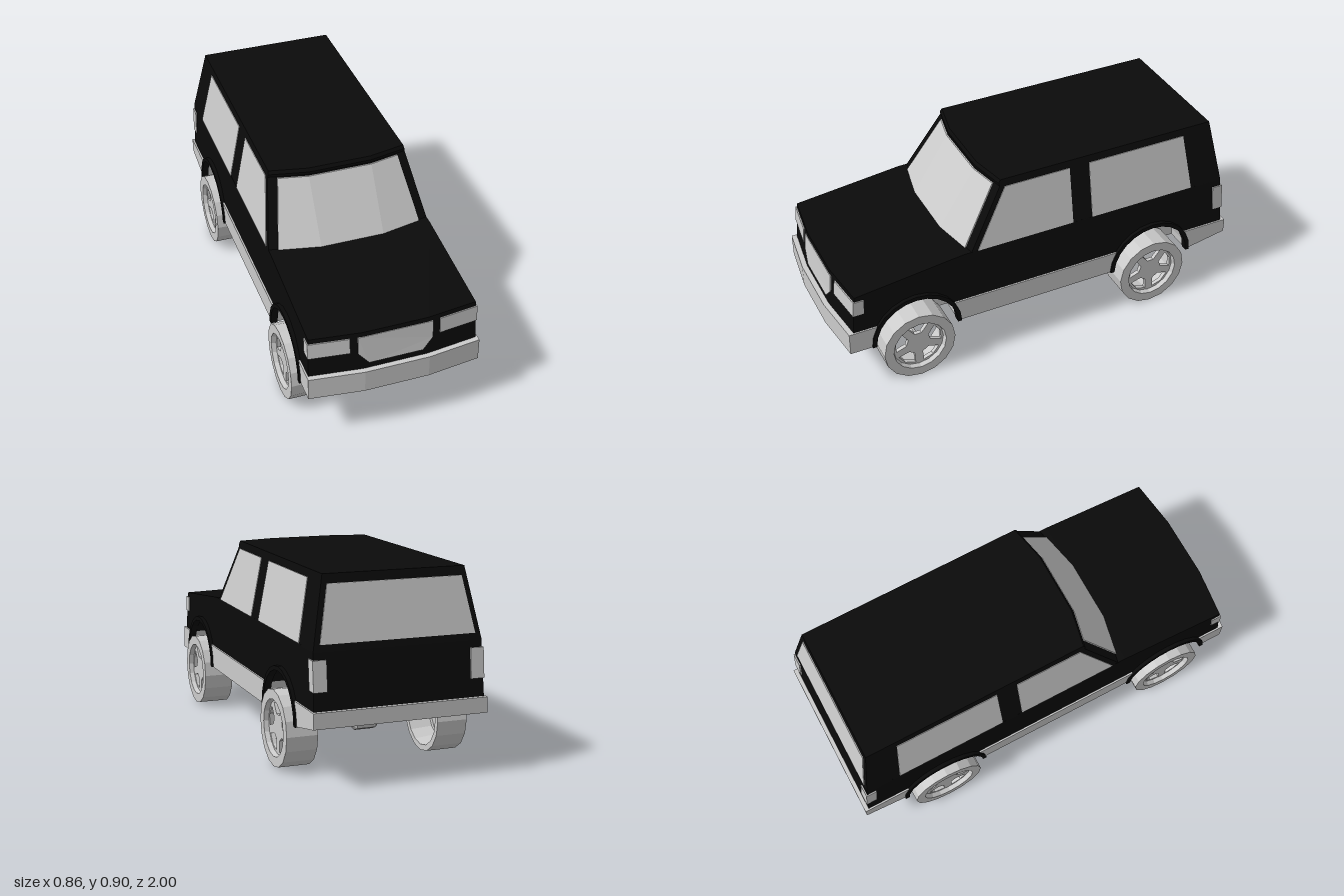
import * as THREE from 'three';

const BLACK = 0x0a0a0a, GREY = 0xcccccc;
const AXLES = [0.645, -0.58];
const ARCH_Y = 0.23, ARCH_R = 0.205, SILL = 0.34;
const A0 = Math.asin((SILL - ARCH_Y) / ARCH_R);

const material = (color) => new THREE.MeshStandardMaterial({ color, flatShading: true });
const black = material(BLACK), grey = material(GREY);

function named(name, geometry, mat) {
  const mesh = new THREE.Mesh(geometry, mat);
  mesh.name = name;
  return mesh;
}

// Move every vertex by a rule that returns its new [x, y, z]
function remap(geometry, rule) {
  const p = geometry.attributes.position;
  for (let i = 0; i < p.count; i++) p.setXYZ(i, ...rule(p.getX(i), p.getY(i), p.getZ(i)));
  geometry.computeVertexNormals();
  return geometry;
}

const shapeOf = (pts) => new THREE.Shape(pts.map(([a, b]) => new THREE.Vector2(a, b)));
const bend = (x) => Math.max(0, Math.abs(x) - 0.15) / 0.24;

// Full-width slab from a [z, y] side profile; the front sweeps back towards the corners
function slab(name, pts, mat, halfWidth, sweep = 0, frontZ = 9) {
  const geometry = new THREE.ExtrudeGeometry(shapeOf(pts.map(([z, y]) => [-z, y])),
    { depth: 3, steps: 3, bevelEnabled: false });
  geometry.rotateY(Math.PI / 2);
  remap(geometry, (x, y, z) => {
    const w = halfWidth(y);
    const nx = [-w, -0.15, 0.15, w][Math.round(x)];
    return [nx, y, z > frontZ ? z - sweep * bend(nx) : z];
  });
  return named(name, geometry, mat);
}

// Short piece of a [z, y] profile between two x positions
function block(name, pts, mat, x0, x1) {
  const geometry = new THREE.ExtrudeGeometry(shapeOf(pts.map(([z, y]) => [-z, y])),
    { depth: x1 - x0, bevelEnabled: false });
  geometry.rotateY(Math.PI / 2).translate(x0, 0, 0);
  return named(name, geometry, mat);
}

// Panel from an [x, y] outline, laid on the swept front face
function frontPanel(name, pts, depth) {
  const geometry = new THREE.ExtrudeGeometry(shapeOf(pts), { depth: 1, bevelEnabled: false });
  remap(geometry, (x, y, z) =>
    [x, y, 0.975 - (y - SILL) * 0.095 - 0.03 * bend(x) + (z > 0.5 ? 0.006 : -depth)]);
  return named(name, geometry, grey);
}

function arc(z, r, from, to, n = 8) {
  return Array.from({ length: n + 1 }, (_, i) => {
    const a = from + (to - from) * i / n;
    return [z + r * Math.cos(a), ARCH_Y + r * Math.sin(a)];
  });
}

function createWheel() {
  const wheel = new THREE.Group();
  wheel.name = 'wheel';
  const profile = [[0.148, -0.072], [0.175, -0.072], [0.175, 0.072], [0.13, 0.072],
    [0.12, 0.035], [0.135, 0.03], [0.148, -0.072]].map(([r, y]) => new THREE.Vector2(r, y));
  wheel.add(named('tyre', new THREE.LatheGeometry(profile, 16).rotateZ(-Math.PI / 2), grey));

  // Five-spoke rim
  const rim = new THREE.Shape().absarc(0, 0, 0.126, 0, Math.PI * 2);
  for (let i = 0; i < 5; i++) {
    const mid = Math.PI / 2 + i * Math.PI * 2 / 5;
    const hole = [[0.06, -0.28], [0.112, -0.46], [0.116, 0], [0.112, 0.46], [0.06, 0.28]];
    rim.holes.push(new THREE.Path(hole.map(([r, a]) =>
      new THREE.Vector2(r * Math.cos(mid + a), r * Math.sin(mid + a)))));
  }
  const rimGeometry = new THREE.ExtrudeGeometry(rim,
    { depth: 0.02, bevelEnabled: false, curveSegments: 16 });
  wheel.add(named('rim', rimGeometry.rotateY(Math.PI / 2).translate(0.03, 0, 0), grey));
  return wheel;
}

export function createModel() {
  const model = new THREE.Group();
  model.name = 'offRoadCar';
  const [zf, zr] = AXLES;
  const bodyWidth = (y) => 0.392 - (y - SILL) * 0.028;
  const cabinWidth = (y) => 0.385 - (y - 0.59) * 0.194;

  // Lower body with wheel arches
  model.add(slab('lowerBody', [[0.975, SILL],
    ...arc(zf, ARCH_R, A0, Math.PI - A0), ...arc(zr, ARCH_R, A0, Math.PI - A0),
    [-0.98, SILL], [-0.957, 0.59], [0.4, 0.592], [0.957, 0.532]], black, bodyWidth, 0.03, 0.88));

  // Cabin
  model.add(slab('cabin', [[0.413, 0.585], [0.232, 0.87], [0.235, 0.885], [0.225, 0.9],
    [-0.9, 0.9], [-0.958, 0.585]], black, cabinWidth, 0.05, 0.1));

  // Windows: side panes run through the cabin and stand just proud on both sides
  const paneWidth = (y) => cabinWidth(y) + 0.003;
  model.add(slab('frontSideWindows',
    [[0.33, 0.592], [0.17, 0.865], [-0.155, 0.865], [-0.155, 0.592]], grey, paneWidth));
  model.add(slab('rearSideWindows',
    [[-0.255, 0.592], [-0.255, 0.865], [-0.755, 0.865], [-0.79, 0.592]], grey, paneWidth));
  model.add(slab('windscreen', [[0.415, 0.592], [0.241, 0.866], [0.2, 0.866], [0.37, 0.592]],
    grey, (y) => cabinWidth(y) - 0.043, 0.05, 0.1));
  model.add(slab('rearWindow', [[-0.957, 0.615], [-0.912, 0.86], [-0.88, 0.86], [-0.92, 0.615]],
    grey, (y) => cabinWidth(y) - 0.025));

  // Bumpers and sills
  const skirtWidth = () => 0.4;
  model.add(slab('frontBumper', [[1, SILL], [1, 0.23], ...arc(zf, ARCH_R, 0, A0, 3)],
    grey, skirtWidth, 0.03, 0.88));
  model.add(slab('sills', [...arc(zf, ARCH_R, Math.PI - A0, Math.PI, 3),
    ...arc(zr, ARCH_R, 0, A0, 3)], grey, skirtWidth));
  model.add(slab('rearBumper', [...arc(zr, ARCH_R, Math.PI - A0, Math.PI, 3),
    [-1, 0.27], [-1, SILL]], grey, skirtWidth));

  // Grille and lamps
  model.add(frontPanel('grille', [[-0.173, 0.51], [-0.173, 0.425], [-0.125, 0.37],
    [0.125, 0.37], [0.173, 0.425], [0.173, 0.51]], 0.03));
  for (const s of [-1, 1]) {
    model.add(frontPanel('headlight',
      [[s * 0.208, 0.435], [s * 0.393, 0.435], [s * 0.393, 0.51], [s * 0.208, 0.51]], 0.045));
    const [x0, x1] = [0.33 * s, 0.392 * s].sort((a, b) => a - b);
    model.add(block('tailLight',
      [[-0.915, 0.553], [-0.967, 0.553], [-0.98, 0.42], [-0.928, 0.42]], grey, x0, x1));
  }

  for (const z of AXLES) {
    // Inner wall of the wheel wells
    const well = named('wheelWell', new THREE.BoxGeometry(0.54, 0.21, 0.42), grey);
    well.position.set(0, 0.337, z);
    model.add(well);

    // Axle and differential
    const axle = new THREE.Group();
    axle.name = 'axle';
    axle.position.set(0, 0.177, z);
    axle.add(named('axleShaft',
      new THREE.CylinderGeometry(0.019, 0.019, 0.79, 8).rotateZ(Math.PI / 2), grey));
    const diff = [[0, -0.058], [0.035, -0.058], [0.05, -0.045], [0.05, 0.045], [0.035, 0.058], [0, 0.058]];
    axle.add(named('differential', new THREE.LatheGeometry(
      diff.map(([r, y]) => new THREE.Vector2(r, y)), 8).rotateZ(Math.PI / 2), grey));
    model.add(axle);

    for (const s of [-1, 1]) {
      // Arch flare
      const [x0, x1] = [0.375 * s, 0.408 * s].sort((a, b) => a - b);
      model.add(block('archFlare', [...arc(z, 0.22, 0, Math.PI, 12),
        ...arc(z, 0.2, Math.PI, 0, 12)], black, x0, x1));

      const wheel = createWheel();
      wheel.position.set(s * 0.357, 0.175, z);
      if (s < 0) wheel.rotation.y = Math.PI;
      model.add(wheel);
    }
  }
  return model;
}
